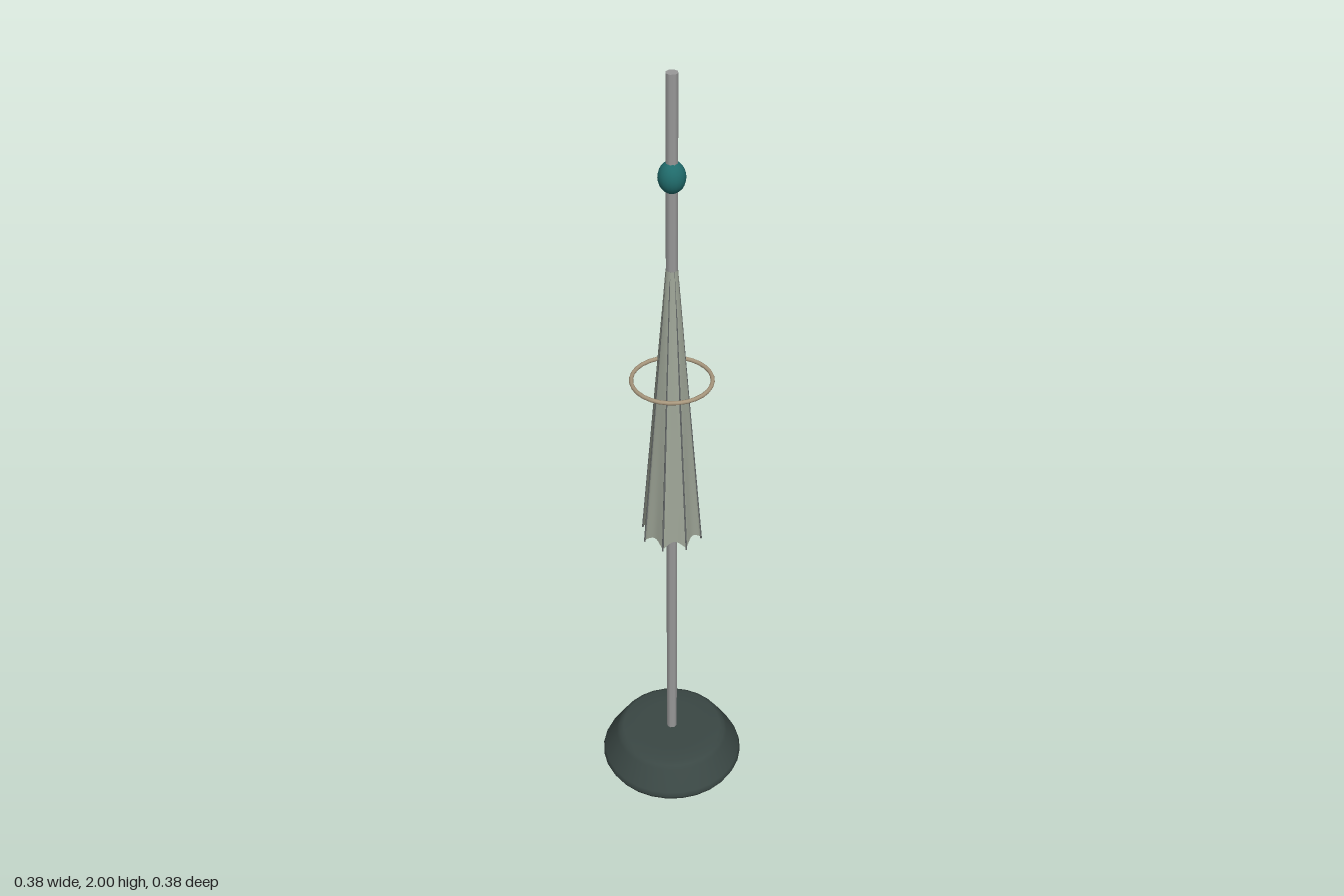
import * as THREE from 'three';

const mat = (color, side = THREE.FrontSide) => new THREE.MeshStandardMaterial({ color, side });
const RIBS = 8, TOP = 1.54, HEM = 0.79, R_TOP = 0.014, R_HEM = 0.076;

function add(group, name, geometry, material, y = 0) {
  const mesh = new THREE.Mesh(geometry, material);
  mesh.name = name;
  mesh.position.y = y;
  group.add(mesh);
  return mesh;
}

// Folded cloth: a cone pulled in between the ribs, with a scalloped hem
function canopyGeometry() {
  const h = TOP - HEM;
  const geo = new THREE.CylinderGeometry(R_TOP, R_HEM, h, RIBS * 8, 10, true);
  const p = geo.attributes.position;
  for (let i = 0; i < p.count; i++) {
    const x = p.getX(i), y = p.getY(i), z = p.getZ(i);
    const t = 0.5 - y / h; // 0 at the top, 1 at the hem
    const fold = Math.abs(Math.sin(Math.atan2(x, z) * RIBS / 2));
    const k = 1 - 0.14 * t * fold;
    p.setXYZ(i, x * k, y + 0.018 * fold * t ** 6, z * k);
  }
  geo.computeVertexNormals();
  return geo;
}

export function createModel() {
  const model = new THREE.Group();
  model.name = 'closedParasol';
  const metal = mat(0x999999);

  // Weighted foot with sloping sides and a rounded shoulder
  const profile = [[0, 0], [0.184, 0], [0.19, 0.012], [0.185, 0.024], [0.152, 0.078],
    [0.145, 0.088], [0.133, 0.095], [0.09, 0.097], [0, 0.097]]
    .map(([r, y]) => new THREE.Vector2(r, y));
  add(model, 'base', new THREE.LatheGeometry(profile, 28), mat(0x3a4744));

  // Pole and finial
  add(model, 'pole', new THREE.CylinderGeometry(0.014, 0.014, 2, 8), metal, 1);
  add(model, 'finial', new THREE.SphereGeometry(0.031, 20, 14), mat(0x206b6b), 1.765).scale.y = 1.2;

  // Cloth and the ribs lying along its ridges
  add(model, 'canopy', canopyGeometry(), mat(0x9da496, THREE.DoubleSide), (TOP + HEM) / 2);
  const ribs = new THREE.Group();
  ribs.name = 'ribs';
  model.add(ribs);
  for (let i = 0; i < RIBS; i++) {
    const a = (i / RIBS) * Math.PI * 2;
    const at = (r, y) => new THREE.Vector3(Math.sin(a) * r, y, Math.cos(a) * r);
    const line = new THREE.LineCurve3(at(R_TOP - 0.002, TOP), at(R_HEM, HEM - 0.005));
    add(ribs, 'rib', new THREE.TubeGeometry(line, 1, 0.0022, 6), mat(0x666a6a));
  }

  // Loose tie ring around the cloth
  const ring = new THREE.TorusGeometry(0.095, 0.005, 8, 28);
  ring.rotateX(Math.PI / 2);
  add(model, 'tieRing', ring, mat(0xa8977d), 1.245);

  return model;
}
